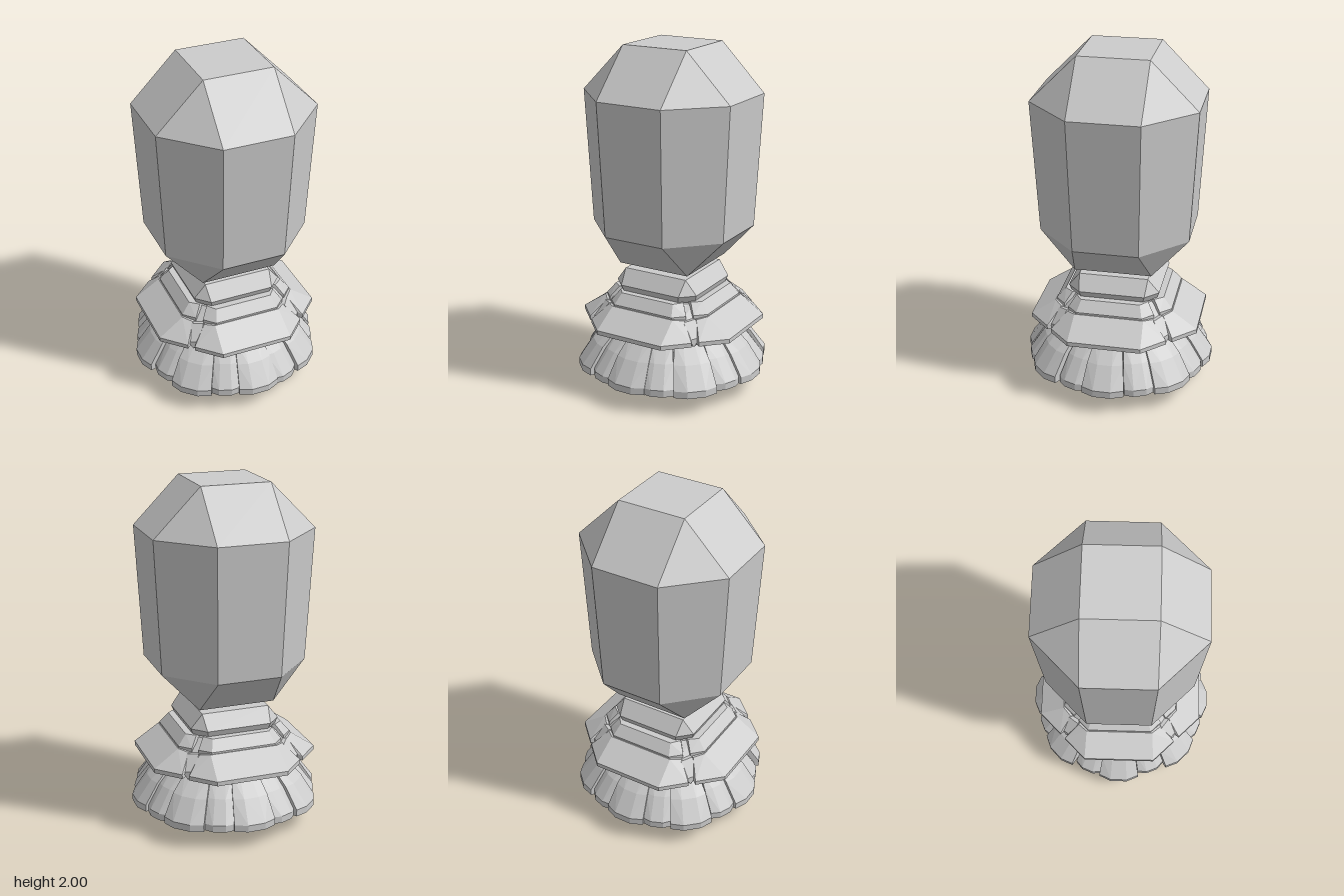
import * as THREE from 'three';
import { ConvexGeometry } from 'three/addons/geometries/ConvexGeometry.js';

const stone = new THREE.MeshStandardMaterial({ color: 0xcccccc, flatShading: true });

// Faceted solid wrapped around [x, y, z] points
function hull(name, points) {
  const mesh = new THREE.Mesh(new ConvexGeometry(points.map((p) => new THREE.Vector3(...p))), stone);
  mesh.name = name;
  return mesh;
}

// Chamfered square ring: half width r, straight edges reaching to +-f (f = r gives a plain square)
function ring(y, r, f) {
  const pts = [];
  for (const sx of [-1, 1]) for (const sz of [-1, 1]) {
    pts.push([sx * r, y, sz * f]);
    if (f !== r) pts.push([sx * f, y, sz * r]);
  }
  return pts;
}

// Points mirrored across x = 0
const mirror = (pts) => pts.flatMap(([x, y, z]) => [[x, y, z], [-x, y, z]]);

function seeded(seed) {
  return () => (seed = (seed * 16807) % 2147483647) / 2147483647;
}

// One skirt stone spanning angles a - w to a + w, hollow behind
function skirtStone(name, a, w, reach, top) {
  const pts = [];
  const arc = (y, r, spread, bulge = 0) => {
    for (const t of [-1, -0.4, 0.4, 1]) {
      const q = a + t * w * spread;
      const d = r + (Math.abs(t) < 1 ? bulge : 0);
      pts.push([Math.sin(q) * d, y, Math.cos(q) * d]);
    }
  };
  arc(0.11, reach - 0.02, 1, 0.02);
  arc(0.15, reach - 0.02, 1, 0.02);
  arc(0.27, reach - 0.1, 1, 0.01);
  arc(top, 0.36, 0.95);
  arc(top, 0.2, 0.95);
  arc(0.11, reach - 0.12, 1);
  return hull(name, pts);
}

export function createModel() {
  const model = new THREE.Group();
  model.name = 'crystalOnPedestal';

  // Floating crystal
  model.add(hull('crystal', [
    ...ring(2, 0.2, 0.2), ...ring(1.73, 0.467, 0.2),
    ...ring(0.96, 0.428, 0.185), ...ring(0.74, 0.222, 0.222),
  ]));

  // Cap stone below the crystal
  model.add(hull('cap', [
    ...ring(0.705, 0.2, 0.2), ...ring(0.62, 0.265, 0.19), ...ring(0.58, 0.25, 0.18),
  ]));

  // Core of the middle tier
  model.add(hull('middleCore', [
    ...ring(0.57, 0.27, 0.16), ...ring(0.5, 0.325, 0.19), ...ring(0.37, 0.335, 0.2),
  ]));

  for (let i = 0; i < 4; i++) {
    const side = new THREE.Group();
    side.name = 'middleSide' + (i + 1);
    side.rotation.y = (i * Math.PI) / 2;

    // Upper band slab
    side.add(hull('bandSlab', mirror([
      [0.17, 0.585, 0.29], [0.21, 0.585, 0.24], [0.19, 0.525, 0.34], [0.25, 0.525, 0.28],
      [0.19, 0.5, 0.34], [0.25, 0.5, 0.28], [0.15, 0.585, 0.15], [0.15, 0.5, 0.15],
    ])));

    // Overhanging eave slab
    side.add(hull('eaveSlab', mirror([
      [0.2, 0.515, 0.345], [0.25, 0.505, 0.3], [0.21, 0.415, 0.49], [0.335, 0.415, 0.365],
      [0.21, 0.39, 0.49], [0.335, 0.39, 0.365], [0.2, 0.5, 0.2], [0.2, 0.39, 0.2],
    ])));

    // Rubble filling the corner between two slabs
    const corner = new THREE.Group();
    corner.name = 'cornerRubble';
    corner.rotation.y = Math.PI / 4;
    corner.add(hull('cornerStone', [
      [-0.04, 0.5, 0.4], [0.03, 0.51, 0.39], [-0.03, 0.42, 0.47], [0.04, 0.43, 0.46],
      [0, 0.38, 0.47], [-0.04, 0.38, 0.42], [0.05, 0.38, 0.42], [0, 0.5, 0.3], [0, 0.38, 0.3],
    ]));
    corner.add(hull('cornerChip', [
      [-0.05, 0.56, 0.3], [0.04, 0.57, 0.31], [-0.05, 0.5, 0.38], [0.05, 0.49, 0.38],
      [0, 0.57, 0.24], [0, 0.48, 0.24],
    ]));
    side.add(corner);
    model.add(side);
  }

  // Flared skirt: eight broad stones with narrow recessed ones between
  const rand = seeded(7);
  const skirt = new THREE.Group();
  skirt.name = 'skirt';
  for (let i = 0; i < 16; i++) {
    const broad = i % 2 === 0;
    const a = (i * Math.PI) / 8 + (i % 4 ? (rand() - 0.5) * 0.05 : 0);
    const reach = i % 4 === 0 ? 0.556 : broad ? 0.565 : 0.525 + rand() * 0.02;
    const top = broad ? 0.368 : 0.345 + rand() * 0.015;
    skirt.add(skirtStone(broad ? 'broadStone' : 'narrowStone', a, broad ? 0.23 : 0.17, reach, top));
  }
  model.add(skirt);

  // Plate closing the top of the skirt
  const plate = new THREE.Mesh(new THREE.CylinderGeometry(0.33, 0.33, 0.08, 16), stone);
  plate.name = 'skirtPlate';
  plate.position.y = 0.32;
  model.add(plate);

  // Hollow square foot set on the diagonal
  const foot = new THREE.Group();
  foot.name = 'foot';
  for (let i = 0; i < 4; i++) {
    const wall = hull('footWall', mirror([
      [0.205, 0, 0.21], [0.15, 0, 0.155], [0.195, 0.3, 0.195], [0.14, 0.3, 0.14],
    ]));
    wall.rotation.y = Math.PI / 4 + (i * Math.PI) / 2;
    foot.add(wall);
  }
  model.add(foot);

  return model;
}
